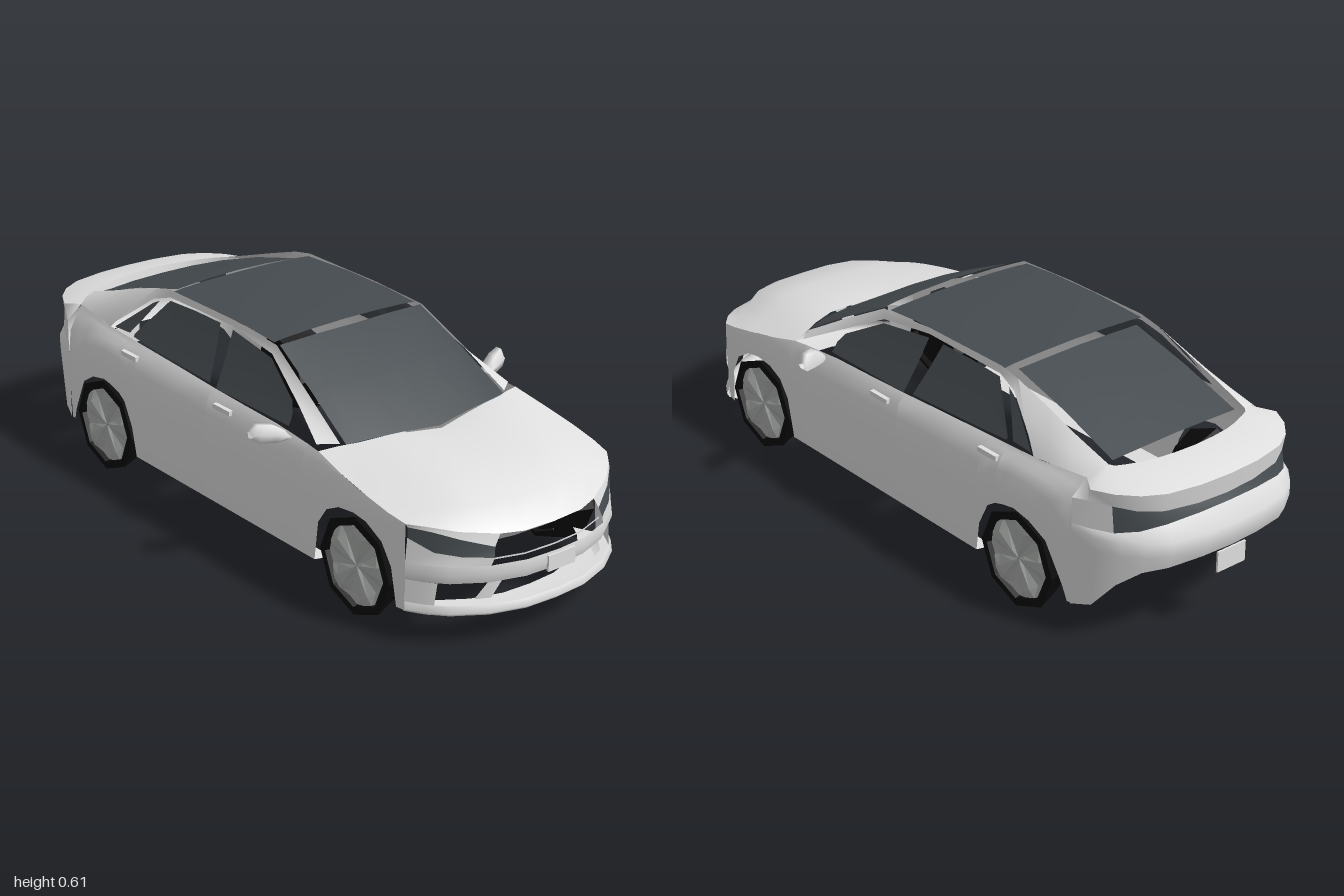
import * as THREE from 'three';

const mat = (name, color, extra = {}) => new THREE.MeshStandardMaterial({ name, color, side: THREE.DoubleSide, ...extra });

// piecewise-linear lookup in a table of [key, value], keys ascending
function look(table, t) {
  if (t <= table[0][0]) return table[0][1];
  for (let i = 1; i < table.length; i++) {
    const [a, va] = table[i - 1], [b, vb] = table[i];
    if (t <= b) return va + (vb - va) * (t - a) / (b - a);
  }
  return table[table.length - 1][1];
}

// plan half-width along z, tumblehome factor along y, beltline height along z
const WIDTH = [[-0.85, 0.33], [-0.76, 0.355], [-0.6, 0.37], [0.54, 0.372], [0.66, 0.371], [0.74, 0.367], [0.8, 0.357]];
const TUMBLE = [[0.09, 0.99], [0.2, 1], [0.33, 1], [0.38, 0.98], [0.41, 0.945], [0.43, 0.895], [0.5, 0.795], [0.6, 0.67]];
const BELT = [[-0.76, 0.455], [-0.6, 0.445], [-0.3, 0.435], [0, 0.425], [0.3, 0.42], [0.44, 0.41], [0.54, 0.388], [0.66, 0.365], [0.8, 0.337]];
const onSide = (z, y, out = 0) => [look(WIDTH, z) * look(TUMBLE, y) + out, y, z];

// bottom edges of the side panels, with both wheel arches: [z, y]
const PANELS = {
  frontFender: [[0.8, 0.09], [0.77, 0.09], [0.755, 0.2], [0.72, 0.26], [0.66, 0.295], [0.61, 0.302], [0.55, 0.295],
    [0.5, 0.27], [0.465, 0.22], [0.445, 0.1], [0.392, 0.1]],
  frontDoor: [[0.392, 0.1], [0.25, 0.1], [0.1, 0.1], [-0.047, 0.1]],
  rearDoor: [[-0.047, 0.1], [-0.2, 0.1], [-0.3, 0.1], [-0.395, 0.1], [-0.41, 0.19], [-0.445, 0.26], [-0.475, 0.28]],
  rearFender: [[-0.475, 0.28], [-0.51, 0.29], [-0.55, 0.297], [-0.61, 0.285], [-0.67, 0.25], [-0.73, 0.14], [-0.745, 0.1], [-0.76, 0.1]],
};

// nose and tail outlines in plan: [x, z]
const NOSE = [[0, 0.988], [0.1, 0.982], [0.2, 0.95], [0.285, 0.895], [0.33, 0.845], [0.357, 0.8]];
const TAIL = [[0.355, -0.76], [0.335, -0.83], [0.305, -0.89], [0.26, -0.94], [0.2, -0.975], [0.1, -0.995], [0, -1]];

const flip = p => [-p[0], p[1], p[2]];
const mix = (a, b, t) => a.map((v, i) => v + (b[i] - v) * t);

// skin over rows of points
function skin(rows) {
  const n = rows[0].length, index = [];
  for (let r = 0; r < rows.length - 1; r++)
    for (let c = 0; c < n - 1; c++) {
      const a = r * n + c, b = a + 1, d = a + n, e = d + 1;
      index.push(a, b, e, a, e, d);
    }
  const g = new THREE.BufferGeometry();
  g.setAttribute('position', new THREE.Float32BufferAttribute(rows.flat(2), 3));
  g.setIndex(index);
  g.computeVertexNormals();
  return g;
}

export function createModel() {
  const car = new THREE.Group();
  car.name = 'car';
  const paint = mat('bodyPaint', 0xe0e0e0);
  const glass = mat('darkGlass', 0x454b4f);
  const rubber = mat('tyreRubber', 0x0a0a0a, { flatShading: true });
  const alloy = mat('wheelAlloy', 0xaeb1af, { flatShading: true });

  const add = (name, geometry, material, parent = car) => {
    const m = new THREE.Mesh(geometry, material);
    m.name = name;
    parent.add(m);
    return m;
  };
  // one skin on each side of the car
  const pair = (name, rows, material) => {
    add(name + 'Left', skin(rows), material);
    add(name + 'Right', skin(rows.map(r => r.map(flip).reverse())), material);
  };
  // one skin across the middle; rows start at x = 0
  const across = (name, rows, material) =>
    add(name, skin(rows.map(r => [...r.slice(1).reverse().map(flip), ...r])), material);

  // fenders, doors and sills
  for (const [name, hem] of Object.entries(PANELS))
    pair(name, [0, 0.3, 0.6, 0.8, 0.92, 1].map(v => hem.map(([z, y]) => onSide(z, y + (look(BELT, z) - y) * v))), paint);
  const sillZ = [0.445, 0.2, -0.1, -0.395];
  pair('sill', [sillZ.map(z => onSide(z, 0.1)), sillZ.map(z => [0.31, 0.09, z])], paint);

  // hood
  const edge = z => onSide(z, look(BELT, z));
  const hoodFront = [[0, 0.303, 0.97], [0.1, 0.304, 0.965], [0.165, 0.308, 0.945], [0.26, 0.322, 0.895], [0.318, 0.334, 0.845], edge(0.8)];
  across('hood', [
    hoodFront,
    [[0, 0.363, 0.91], [0.1, 0.364, 0.905], [0.18, 0.366, 0.88], [0.25, 0.362, 0.83], [0.315, 0.353, 0.785], edge(0.74)],
    [[0, 0.4, 0.75], [0.1, 0.402, 0.75], [0.18, 0.402, 0.735], [0.25, 0.391, 0.7], [0.315, 0.376, 0.68], edge(0.66)],
    [[0, 0.416, 0.6], [0.1, 0.42, 0.6], [0.18, 0.422, 0.59], [0.25, 0.413, 0.575], [0.31, 0.399, 0.56], edge(0.54)],
    [[0, 0.412, 0.53], [0.1, 0.422, 0.515], [0.18, 0.428, 0.503], [0.25, 0.422, 0.483], [0.3, 0.417, 0.46], edge(0.44)],
  ], paint);

  // nose: grille brow, headlights, bumper bands, splitter
  const nose = (y, k = 1, from = 0) => NOSE.slice(from).map(([x, z]) => [x * k, y, z * k]);
  across('grilleBrow', [hoodFront.slice(0, 3), [[0, 0.275, 0.93], [0.1, 0.275, 0.925], [0.15, 0.275, 0.915]]], paint);
  const lampLow = [[0.19, 0.251, 0.955], [0.26, 0.256, 0.908], [0.312, 0.266, 0.86], [0.352, 0.298, 0.802]];
  const lampTop = [[0.183, 0.277, 0.947], [0.26, 0.302, 0.9], [0.315, 0.322, 0.852], [0.351, 0.327, 0.801]];
  pair('lampSurround', [nose(0.225, 1, 2), lampLow], paint);
  pair('headlight', [lampLow, lampTop], glass);
  pair('lampBrow', [lampTop, hoodFront.slice(2)], paint);
  across('bumper', [nose(0.18, 0.995), nose(0.205, 1.004), nose(0.23)], paint);
  across('grilleBar', [nose(0.238, 0.985).slice(0, 3), nose(0.243, 0.985).slice(0, 3)], paint);
  pair('bumperCorner', [[[0.315, 0.09, 0.863], ...nose(0.09, 1, 4)], [[0.305, 0.18, 0.868], ...nose(0.18, 0.995, 4)]], paint);
  across('splitter', [nose(0.09, 0.9), nose(0.09, 1), nose(0.1, 1.01), nose(0.118, 1)], paint);
  pair('intakeStrut', [
    [[0.15, 0.185, 0.95], [0.19, 0.185, 0.94]],
    [[0.185, 0.13, 0.94], [0.225, 0.13, 0.92]],
  ], paint);
  add('frontPlate', new THREE.BoxGeometry(0.095, 0.045, 0.008), paint).position.set(0.01, 0.2, 0.99);

  // tail: bumper, light strip widening to the corners, lip, boot lid
  const TAIL_HEM = [0.1, 0.115, 0.19, 0.232, 0.24, 0.245, 0.245];
  const LIGHT_LOW = [0.34, 0.338, 0.338, 0.348, 0.362, 0.37, 0.372];
  const LIGHT_TOP = [0.415, 0.415, 0.412, 0.402, 0.396, 0.392, 0.39];
  const tail = (heights, k = 1) => TAIL.map(([x, z], i) => [x, heights[i], i ? z * k : z]);
  const level = y => TAIL.map(() => y);
  const bandAcross = (name, rows, material) => across(name, rows.map(r => r.slice().reverse()), material);
  const lightLow = tail(LIGHT_LOW, 0.972), lightTop = tail(LIGHT_TOP, 0.962);
  bandAcross('rearBumper', [tail(TAIL_HEM, 0.985), tail(level(0.28)), tail(level(0.318)), lightLow], paint);
  bandAcross('rearLightStrip', [lightLow.slice(2), lightTop.slice(2)], glass);
  pair('rearCorner', [lightLow.slice(0, 3), lightTop.slice(0, 3)], paint);
  const lip = tail(level(0.45), 0.972).map((p, i) => i ? p : edge(-0.76));
  bandAcross('bootLip', [lightTop, lip], paint);
  const lidFront = [[0.245, 0.478, -0.775], [0.235, 0.476, -0.788], [0.21, 0.476, -0.8], [0.17, 0.476, -0.815],
    [0.13, 0.476, -0.826], [0.07, 0.477, -0.835], [0, 0.478, -0.84]];
  const lidMid = lip.map((p, i) => mix(p, lidFront[i], 0.5)).map(p => [p[0], p[1] + 0.006, p[2]]);
  bandAcross('bootLid', [lip, lidMid, lidFront], paint);
  add('rearPlate', new THREE.BoxGeometry(0.1, 0.06, 0.006), paint).position.set(0, 0.21, -0.985);

  // roof rails with the front pillars, and rear quarters
  const railLow = [[0.42, 0.42], [0.3, 0.48], [0.13, 0.565], [-0.06, 0.586], [-0.36, 0.582], [-0.43, 0.56], [-0.58, 0.447]].map(([z, y]) => onSide(z, y));
  const railTop = [[0.292, 0.42, 0.458], [0.277, 0.503, 0.31], [0.257, 0.592, 0.14], [0.252, 0.603, -0.06], [0.252, 0.603, -0.36], [0.252, 0.59, -0.43], [0.275, 0.51, -0.56]];
  pair('roofRail', [railLow, railTop], paint);
  const quarterLow = [-0.575, -0.64, -0.7, -0.76].map(edge);
  const quarterTop = [[0.252, 0.59, -0.43], [0.25, 0.552, -0.55], [0.25, 0.515, -0.66], [0.245, 0.478, -0.775]];
  const quarterMid = quarterLow.map((p, i) => mix(p, quarterTop[i], 0.5)).map(p => [p[0] + 0.006, p[1] + 0.004, p[2]]);
  pair('rearQuarter', [quarterLow, quarterMid, quarterTop], paint);

  // windscreen, roof and rear window
  across('windscreen', [
    [[0, 0.416, 0.522], [0.12, 0.424, 0.505], [0.22, 0.424, 0.488], [0.28, 0.418, 0.468]],
    [[0, 0.52, 0.345], [0.12, 0.52, 0.338], [0.22, 0.515, 0.325], [0.267, 0.508, 0.31]],
    [[0, 0.6, 0.16], [0.12, 0.599, 0.155], [0.21, 0.595, 0.15], [0.25, 0.592, 0.145]],
  ], glass);
  across('roof', [[0.12, 0.602], [0, 0.61], [-0.18, 0.612], [-0.365, 0.604]].map(([z, y]) =>
    [[0, y, z], [0.12, y - 0.002, z], [0.21, y - 0.006, z], [0.25, y - 0.01, z]]), glass);
  across('rearWindow', [[-0.39, 0.598, 0.213], [-0.58, 0.548, 0.216], [-0.768, 0.484, 0.22]].map(([z, y, x]) =>
    [[0, y, z], [x * 0.5, y - 0.002, z], [x, y - 0.008, z + 0.005]]), glass);

  // side windows: lower and upper edges as [z, y]
  const pane = (name, bottom, top) => pair(name, [0, 0.5, 1].map(v =>
    bottom.map((b, i) => onSide(...mix(b, top[i], v), -0.004))), glass);
  pane('frontDoorWindow', [[0.29, 0.425], [0.27, 0.425], [0.12, 0.425], [-0.04, 0.425]], [[0.285, 0.455], [0.265, 0.482], [0.13, 0.553], [-0.06, 0.575]]);
  pane('rearDoorWindow', [[-0.075, 0.43], [-0.22, 0.435], [-0.35, 0.44], [-0.46, 0.445]], [[-0.12, 0.577], [-0.24, 0.577], [-0.36, 0.572], [-0.463, 0.452]]);
  pane('quarterWindow', [[-0.485, 0.45], [-0.56, 0.447]], [[-0.405, 0.56], [-0.43, 0.548]]);

  // door handles
  for (const s of [1, -1])
    for (const [z, y] of [[0.03, 0.393], [-0.43, 0.405]])
      add('doorHandle', new THREE.BoxGeometry(0.014, 0.014, 0.075), paint).position.set(s * onSide(z, y, 0.003)[0], y, z);

  // wing mirrors: a tapering shell from inner to outer section
  const section = (x, y0, y1, z0, z1) => [[x, y0, z0], [x, y0, z1], [x, (y0 + y1) / 2, z1 + 0.008], [x, y1, z1 - 0.008], [x, y1, z0], [x, y0, z0]];
  pair('mirror', [section(0.352, 0.408, 0.414, 0.295, 0.322), section(0.365, 0.404, 0.43, 0.288, 0.322), section(0.395, 0.402, 0.449, 0.28, 0.315),
    section(0.435, 0.404, 0.455, 0.268, 0.297), section(0.451, 0.416, 0.432, 0.265, 0.28)], paint);

  // wheels: hollow eight-sided tyre with a recessed, faceted five-spoke rim
  const tyreProfile = [[0.1, -0.04], [0.113, -0.04], [0.143, 0.042], [0.12, 0.044], [0.114, 0.02], [0.1, -0.04]].map(([r, h]) => new THREE.Vector2(r, h));
  for (const s of [1, -1])
    for (const z of [0.61, -0.56]) {
      const wheel = new THREE.Group();
      wheel.name = (z > 0 ? 'front' : 'rear') + 'Wheel' + (s > 0 ? 'Left' : 'Right');
      wheel.position.set(s * 0.325, 0.145, z);
      car.add(wheel);
      add('tyre', new THREE.LatheGeometry(tyreProfile, 8).rotateZ(-s * Math.PI / 2), rubber, wheel);
      const ring = (r, high, deep) => Array.from({ length: 21 }, (_, i) => {
        const a = -s * i * Math.PI / 10;
        return [s * (i % 4 < 2 ? high : deep), Math.cos(a) * r, Math.sin(a) * r];
      });
      add('rim', skin([ring(0.001, 0.034, 0.034), ring(0.025, 0.038, 0.032), ring(0.09, 0.041, 0.028), ring(0.115, 0.036, 0.03)]), alloy, wheel);
      add('hubBack', new THREE.CylinderGeometry(0.098, 0.098, 0.004, 8).rotateZ(Math.PI / 2), rubber, wheel).position.x = -s * 0.02;
    }

  return car;
}
